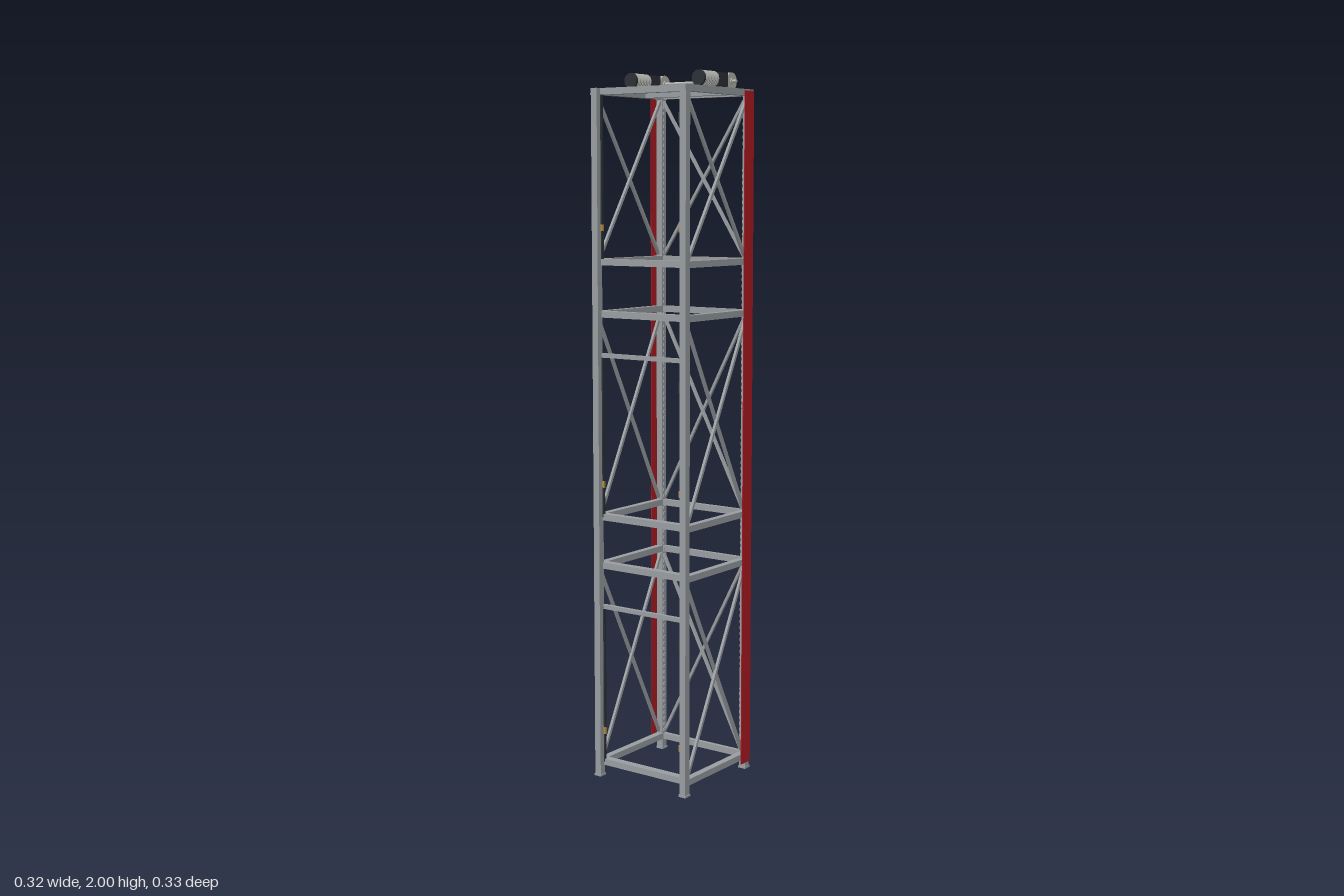
import * as THREE from 'three';

export function createModel() {
  const root = new THREE.Group();
  const mat = (color) => new THREE.MeshStandardMaterial({ color });
  const steel = mat(0x9a9fa3), light = mat(0xb4b4b0), dark = mat(0x2c3036), red = mat(0xb01c22), brass = mat(0xb08a3a);

  const add = (name, geometry, material, x, y, z, parent = root) => {
    const m = new THREE.Mesh(geometry, material);
    m.name = name;
    m.position.set(x, y, z);
    parent.add(m);
    return m;
  };
  const box = (name, w, h, d, x, y, z, material = steel, parent = root) =>
    add(name, new THREE.BoxGeometry(w, h, d), material, x, y, z, parent);

  // Cylinder lying along x or z
  const rod = (name, r, len, axis, x, y, z, material, parent = root) => {
    const g = new THREE.CylinderGeometry(r, r, len, 32);
    if (axis === 'x') g.rotateZ(Math.PI / 2);
    else g.rotateX(Math.PI / 2);
    return add(name, g, material, x, y, z, parent);
  };

  // Slim brace between two points
  const brace = (a, b) => {
    const m = box('diagonalBrace', 0.008, a.distanceTo(b), 0.008, 0, 0, 0);
    m.position.copy(a).add(b).multiplyScalar(0.5);
    m.quaternion.setFromUnitVectors(new THREE.Vector3(0, 1, 0), b.clone().sub(a).normalize());
  };

  const levels = [0.04, 0.62, 0.76, 1.335, 1.48, 1.945];
  const panels = [[0.04, 0.62], [0.76, 1.335], [1.48, 1.945]];

  // Corner posts with feet and caps
  for (const x of [-0.15, 0.15]) for (const z of [-0.15, 0.15]) {
    box('cornerPost', 0.02, 1.935, 0.02, x, 0.9675, z);
    box('postFoot', 0.024, 0.006, 0.024, x, 0.003, z);
    box('postCap', 0.024, 0.004, 0.024, x, 1.937, z);
  }

  // Horizontal rails on all four sides
  for (const y of levels) {
    const top = y > 1.9;
    for (const z of [-0.15, 0.15]) box('crossRail', top ? 0.322 : 0.28, 0.018, 0.02, 0, y, z);
    box('sideRail', 0.013, 0.018, 0.28, 0.151, y, 0);
    box('doorSideRail', 0.023, 0.018, 0.28, -0.1335, y, 0);
  }

  // X bracing on the front, back and closed side
  for (const [y0, y1] of panels) {
    const lo = y0 + 0.015, hi = y1 - 0.015;
    for (const s of [-1, 1]) {
      for (const z of [-0.15, 0.15])
        brace(new THREE.Vector3(-0.14 * s, lo, z + s * 0.003), new THREE.Vector3(0.14 * s, hi, z + s * 0.003));
      brace(new THREE.Vector3(0.15 + s * 0.003, lo, -0.14 * s), new THREE.Vector3(0.15 + s * 0.003, hi, 0.14 * s));
    }
  }

  // Three door openings with jambs, lintel, hinges and lock
  for (const y of [0.04, 0.76, 1.48]) {
    if (y < 1.4) box('doorLintel', 0.012, 0.012, 0.28, -0.139, y + 0.46, 0);
    for (const z of [-0.138, 0.138]) {
      box('doorJamb', 0.008, 0.46, 0.004, -0.141, y + 0.23, z, dark);
      box('hingePlate', 0.006, 0.018, 0.008, -0.147, y + 0.095, z * 0.965, brass);
    }
    box('doorLock', 0.012, 0.028, 0.012, -0.142, y + 0.388, 0.132, dark);
  }

  // Red cover strips and toothed racks on the lifting side
  for (const s of [-1, 1]) {
    box('redCover', 0.045, 1.93, 0.002, 0.1385, 0.985, s * 0.162, red);
    const rack = new THREE.Group();
    rack.name = 'toothedRack';
    root.add(rack);
    const tooth = new THREE.BoxGeometry(0.006, 0.009, 0.004);
    for (let y = 0.06; y < 1.93; y += 0.018) add('rackTooth', tooth, steel, 0.147, y, s * 0.138, rack);
  }

  // Motor support beam under the drives
  box('motorBeam', 0.02, 0.018, 0.28, 0.071, 1.945, 0);

  // Geared motors
  for (const z of [-0.115, 0.115]) {
    const motor = new THREE.Group();
    motor.name = 'gearMotor';
    motor.position.set(0, 1.978, z);
    root.add(motor);
    rod('motorEndCap', 0.021, 0.008, 'x', -0.037, 0, 0, dark, motor);
    rod('motorCore', 0.018, 0.066, 'x', 0, 0, 0, dark, motor);
    for (let i = 0; i < 9; i++) rod('coolingFin', 0.021, 0.0045, 'x', -0.029 + i * 0.007, 0, 0, light, motor);
    box('gearbox', 0.044, 0.036, 0.036, 0.053, 0, 0, dark, motor);
    box('motorFoot', 0.02, 0.008, 0.03, 0.067, -0.02, 0, dark, motor);
  }

  // Drive shaft with its two pulleys
  rod('driveShaft', 0.0045, 0.27, 'z', 0.115, 1.976, 0, light);
  for (const z of [-0.115, 0.115]) {
    rod('pulley', 0.024, 0.009, 'z', 0.115, 1.976, z, light);
    rod('pulleyHub', 0.009, 0.016, 'z', 0.115, 1.976, z, light);
  }
  return root;
}
